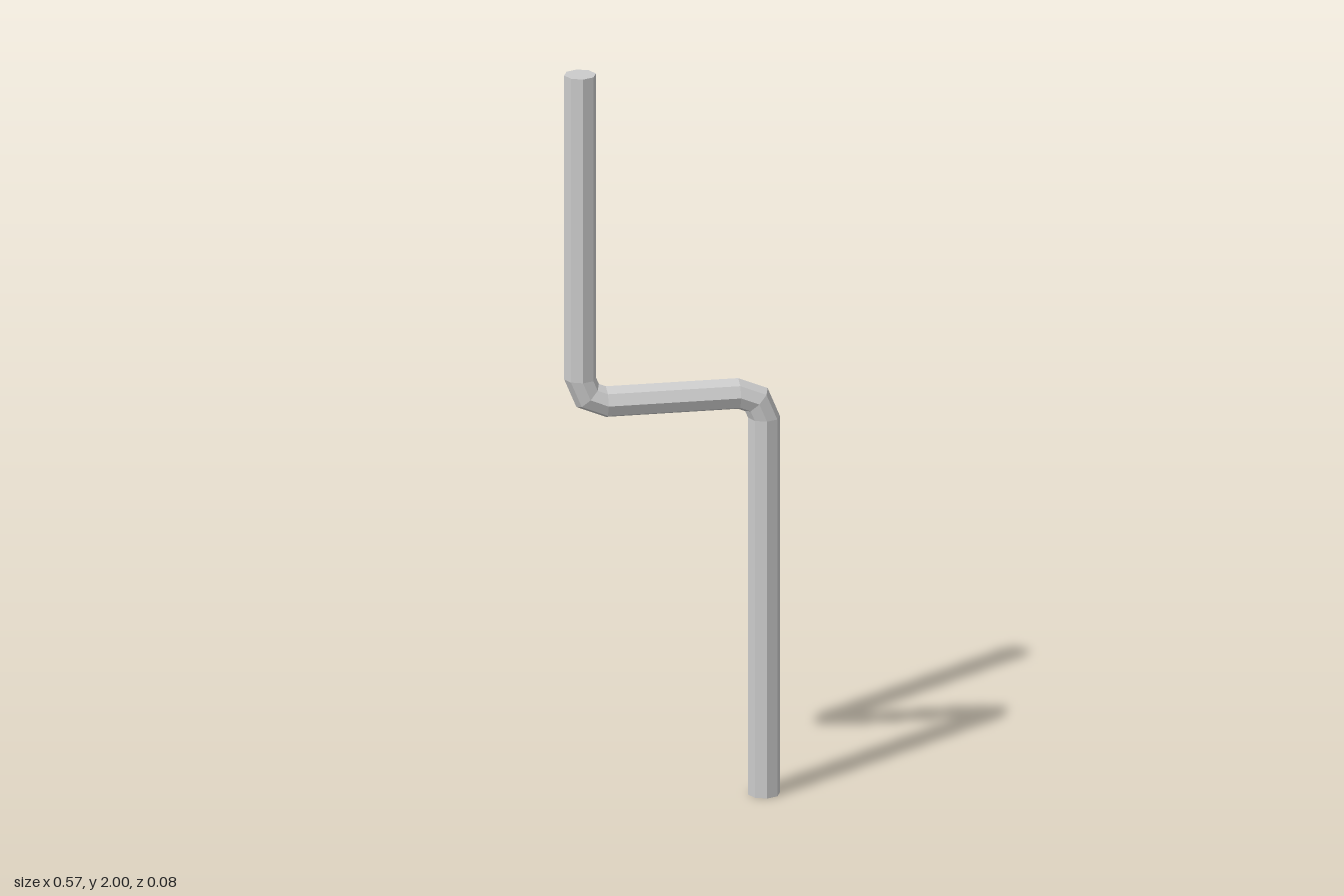
import * as THREE from 'three';

const SIDES = 8, RADIUS = 0.042, BEND = 0.068, X = 0.243, MID_Y = 1.1;

// Octagonal ring centred at (x, y); the tube runs along angle `dir` in the XY plane
function ring(x, y, dir) {
  return Array.from({ length: SIDES }, (_, i) => {
    const a = (i / SIDES) * Math.PI * 2;
    const r = RADIUS * Math.cos(a);
    return [x + r * Math.sin(dir), y - r * Math.cos(dir), RADIUS * Math.sin(a)];
  });
}

// Stations along the pipe: straight end, two two-step bends, straight end
function pipeRings() {
  const rings = [ring(X, 0, Math.PI / 2)];
  for (let i = 0; i <= 2; i++) {
    const t = (i * Math.PI) / 4;
    rings.push(ring(X - BEND + BEND * Math.cos(t), MID_Y - BEND + BEND * Math.sin(t), Math.PI / 2 + t));
  }
  for (let i = 0; i <= 2; i++) {
    const t = (i * Math.PI) / 4;
    rings.push(ring(-X + BEND - BEND * Math.sin(t), MID_Y + BEND - BEND * Math.cos(t), Math.PI - t));
  }
  rings.push(ring(-X, 2, Math.PI / 2));
  return rings;
}

function pipeGeometry() {
  const rings = pipeRings();
  const positions = rings.flat(2);
  const index = [];
  // Walls
  for (let r = 0; r < rings.length - 1; r++) {
    for (let i = 0; i < SIDES; i++) {
      const j = (i + 1) % SIDES;
      const a = r * SIDES + i, b = r * SIDES + j, c = a + SIDES, d = b + SIDES;
      index.push(a, c, b, b, c, d);
    }
  }
  // Flat end caps
  const last = (rings.length - 1) * SIDES;
  for (let i = 1; i < SIDES - 1; i++) {
    index.push(0, i, i + 1);
    index.push(last, last + i + 1, last + i);
  }
  const geometry = new THREE.BufferGeometry();
  geometry.setAttribute('position', new THREE.Float32BufferAttribute(positions, 3));
  geometry.setIndex(index);
  const flat = geometry.toNonIndexed();
  flat.computeVertexNormals();
  return flat;
}

export function createModel() {
  const group = new THREE.Group();
  group.name = 'offsetPipe';
  const material = new THREE.MeshStandardMaterial({ color: 0xcccccc, flatShading: true });
  const pipe = new THREE.Mesh(pipeGeometry(), material);
  pipe.name = 'bentPipe';
  group.add(pipe);
  return group;
}
